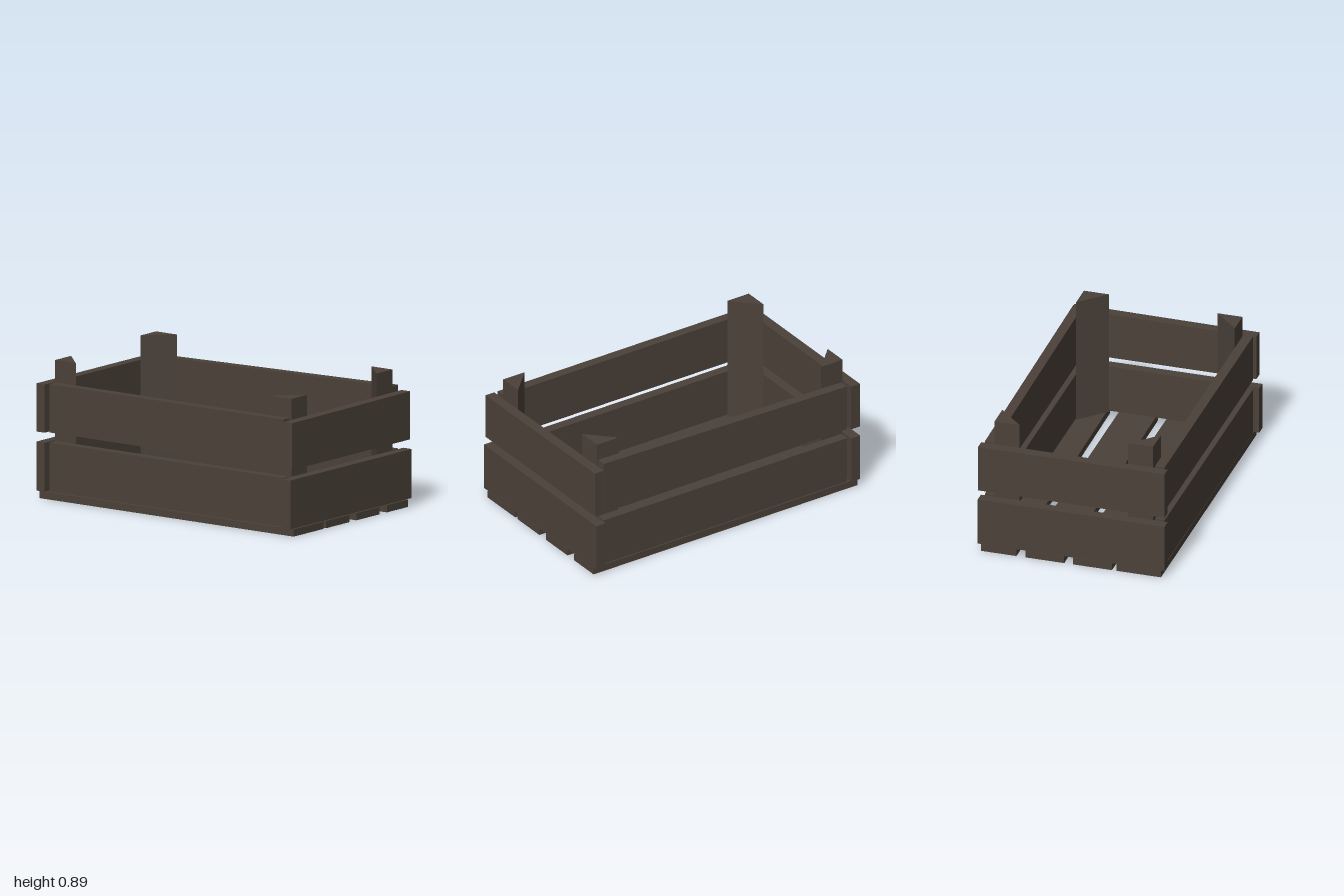
import * as THREE from 'three';

export function createModel() {
  const crate = new THREE.Group();
  crate.name = 'crate';
  const wood = new THREE.MeshStandardMaterial({ color: 0x4b4139 });
  wood.name = 'dark wood';

  const extrude = (points, depth) => new THREE.ExtrudeGeometry(
    new THREE.Shape(points.map(([a, b]) => new THREE.Vector2(a, b))),
    { depth, bevelEnabled: false });

  const add = (name, geometry) => {
    const mesh = new THREE.Mesh(geometry, wood);
    mesh.name = name;
    crate.add(mesh);
  };

  // Outline in plan as [x, z], raised from y0 to y1
  const upright = (name, plan, y0, y1) => add(name,
    extrude(plan.map(([x, z]) => [x, -z]), y1 - y0).rotateX(-Math.PI / 2).translate(0, y0, 0));

  // Floor slats: [left, right] at the back, then at the front
  [
    [-0.59, -0.298, -0.587, -0.282],
    [-0.27, -0.015, -0.256, -0.015],
    [0.042, 0.296, 0.056, 0.296],
    [0.354, 0.585, 0.37, 0.585],
  ].forEach(([bl, br, fl, fr], i) => upright(`floorSlat${i + 1}`,
    [[bl, -0.993], [br, -0.993], [fr, 0.997], [fl, 0.997]], 0, 0.046));

  // End boards: x range, bottom, top at -x, top at +x, rear face z
  [
    ['frontLowerBoard', -0.624, 0.621, 0.052, 0.363, 0.363, 0.934],
    ['frontUpperBoard', -0.606, 0.603, 0.427, 0.724, 0.733, 0.934],
    ['backLowerBoard', -0.615, 0.605, 0.052, 0.363, 0.363, -1],
    ['backUpperBoard', -0.615, 0.603, 0.427, 0.733, 0.733, -1],
  ].forEach(([name, x0, x1, y0, topL, topR, z]) => add(name,
    extrude([[x0, y0], [x1, y0], [x1, topR], [x0, topL]], 0.066).translate(0, 0, z)));

  // Side boards: inner-to-outer x, bottom, top at the back, top at the front
  [
    ['leftLowerBoard', 0.522, 0.052, 0.363, 0.363],
    ['leftUpperBoard', 0.522, 0.427, 0.733, 0.768],
    ['rightLowerBoard', -0.59, 0.052, 0.363, 0.363],
    ['rightUpperBoard', -0.59, 0.427, 0.735, 0.735],
  ].forEach(([name, x, y0, topBack, topFront]) => add(name,
    extrude([[-0.92, y0], [0.915, y0], [0.915, topBack], [-0.92, topFront]], 0.063)
      .rotateY(Math.PI / 2).translate(x, 0, 0)));

  // Triangular corner posts, square corner outward
  [
    ['frontLeftPost', 1, 1, 0.876],
    ['backLeftPost', 1, -1, 0.89],
    ['frontRightPost', -1, 1, 0.856],
    ['backRightPost', -1, -1, 0.875],
  ].forEach(([name, sx, sz, top]) => upright(name,
    [[sx * 0.518, sz * 0.926], [sx * 0.355, sz * 0.926], [sx * 0.518, sz * 0.764]], 0.048, top));

  return crate;
}
